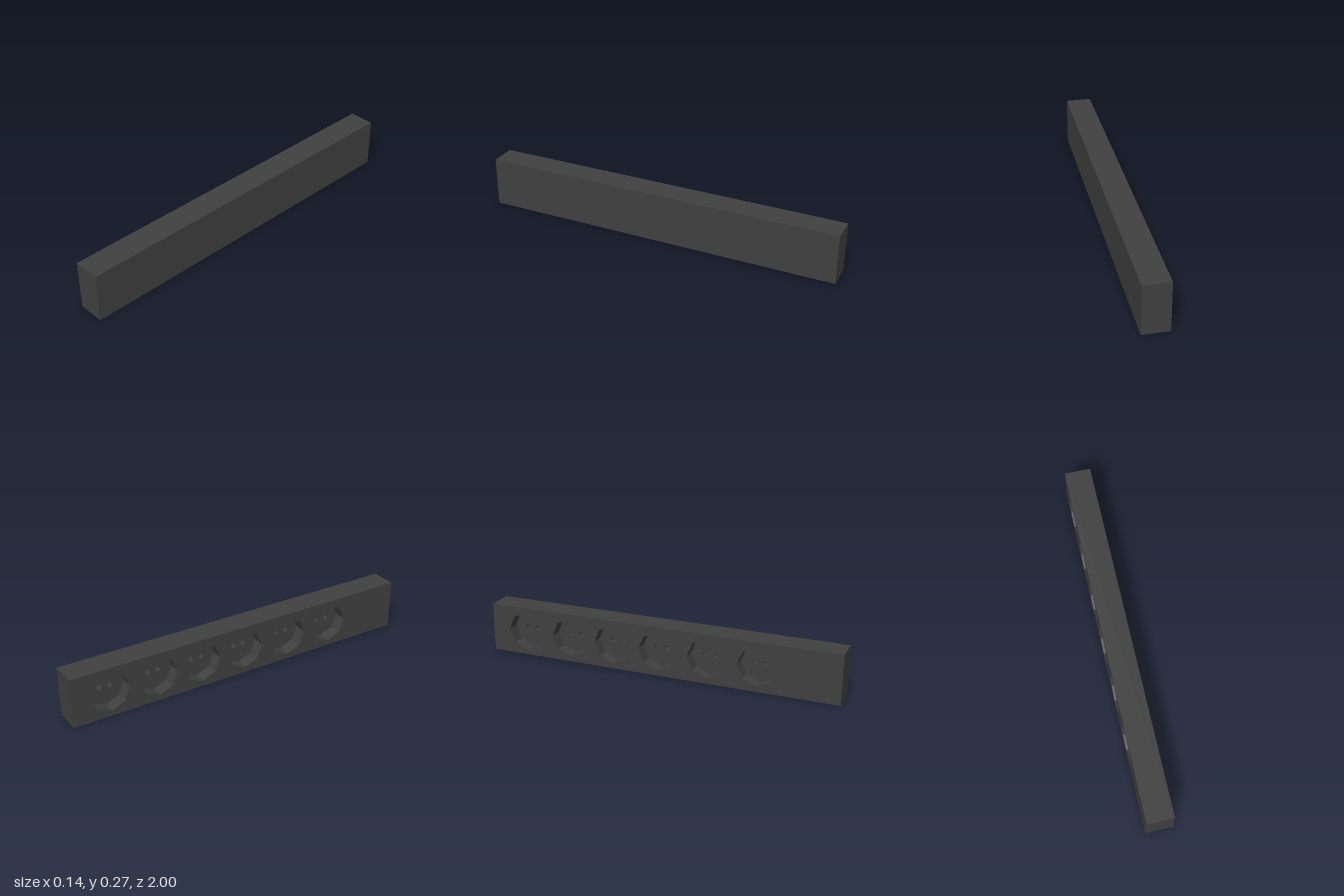
import * as THREE from 'three';

const LENGTH = 2, HEIGHT = 0.274, DEPTH = 0.144;
const FACE = DEPTH / 2;              // plane of the socket face
const WELL_R = 0.108, WELL_DEPTH = 0.07;
const PIN_R = 0.015, PIN_DEPTH = 0.04, PIN_OFFSET = 0.03;
const SOCKETS = [-0.79, -0.516, -0.26, 0.003, 0.28, 0.557];

const dark = new THREE.MeshStandardMaterial({ color: 0x404040, flatShading: true });
const darkInside = new THREE.MeshStandardMaterial({ color: 0x404040, flatShading: true, side: THREE.BackSide });

// Corners of an eight-sided outline with one corner at the top
function octagon(x, y, r) {
  return Array.from({ length: 8 }, (_, i) => {
    const a = (i * Math.PI) / 4;
    return new THREE.Vector2(x + r * Math.cos(a), y + r * Math.sin(a));
  });
}

// Flat sheet facing +z with octagonal cut-outs
function sheet(outline, holes) {
  const shape = new THREE.Shape(outline);
  for (const h of holes) shape.holes.push(new THREE.Path(h));
  return new THREE.ShapeGeometry(shape);
}

function addMesh(parent, name, geometry, material, x, y, z) {
  const mesh = new THREE.Mesh(geometry, material);
  mesh.name = name;
  mesh.position.set(x, y, z);
  parent.add(mesh);
}

// Eight-sided wall of a recess, seen from the inside, running back from z = 0
function recessWall(r, depth) {
  return new THREE.CylinderGeometry(r, r, depth, 8, 1, true)
    .rotateX(Math.PI / 2).translate(0, 0, -depth / 2);
}

// One socket: round well, floor and two pin holes
function createSocket() {
  const socket = new THREE.Group();
  socket.name = 'socket';
  const pins = [-PIN_OFFSET, PIN_OFFSET];
  addMesh(socket, 'socketWall', recessWall(WELL_R, WELL_DEPTH), darkInside, 0, 0, 0);
  addMesh(socket, 'socketFloor',
    sheet(octagon(0, 0, WELL_R), pins.map((x) => octagon(x, 0, PIN_R))), dark, 0, 0, -WELL_DEPTH);
  for (const x of pins) {
    addMesh(socket, 'pinHoleWall', recessWall(PIN_R, PIN_DEPTH), darkInside, x, 0, -WELL_DEPTH);
    addMesh(socket, 'pinHoleEnd', new THREE.CircleGeometry(PIN_R, 8), dark, x, 0, -WELL_DEPTH - PIN_DEPTH);
  }
  return socket;
}

export function createModel() {
  const model = new THREE.Group();
  model.name = 'powerStrip';

  // Built lying along x with sockets toward +z, then turned so they face -x
  const strip = new THREE.Group();
  strip.name = 'strip';
  strip.position.y = HEIGHT / 2;
  strip.rotation.y = -Math.PI / 2;
  model.add(strip);

  // Casing: box without its socket side
  const casing = new THREE.BoxGeometry(LENGTH, HEIGHT, DEPTH);
  const index = Array.from(casing.index.array);
  index.splice(24, 6);
  casing.setIndex(index);
  casing.clearGroups();
  addMesh(strip, 'casing', casing, dark, 0, 0, 0);

  // Socket side with openings
  const w = LENGTH / 2, h = HEIGHT / 2;
  const outline = [[-w, -h], [w, -h], [w, h], [-w, h]].map(([x, y]) => new THREE.Vector2(x, y));
  addMesh(strip, 'socketFace', sheet(outline, SOCKETS.map((x) => octagon(x, 0, WELL_R))), dark, 0, 0, FACE);

  for (const x of SOCKETS) {
    const socket = createSocket();
    socket.position.set(x, 0, FACE);
    strip.add(socket);
  }
  return model;
}
